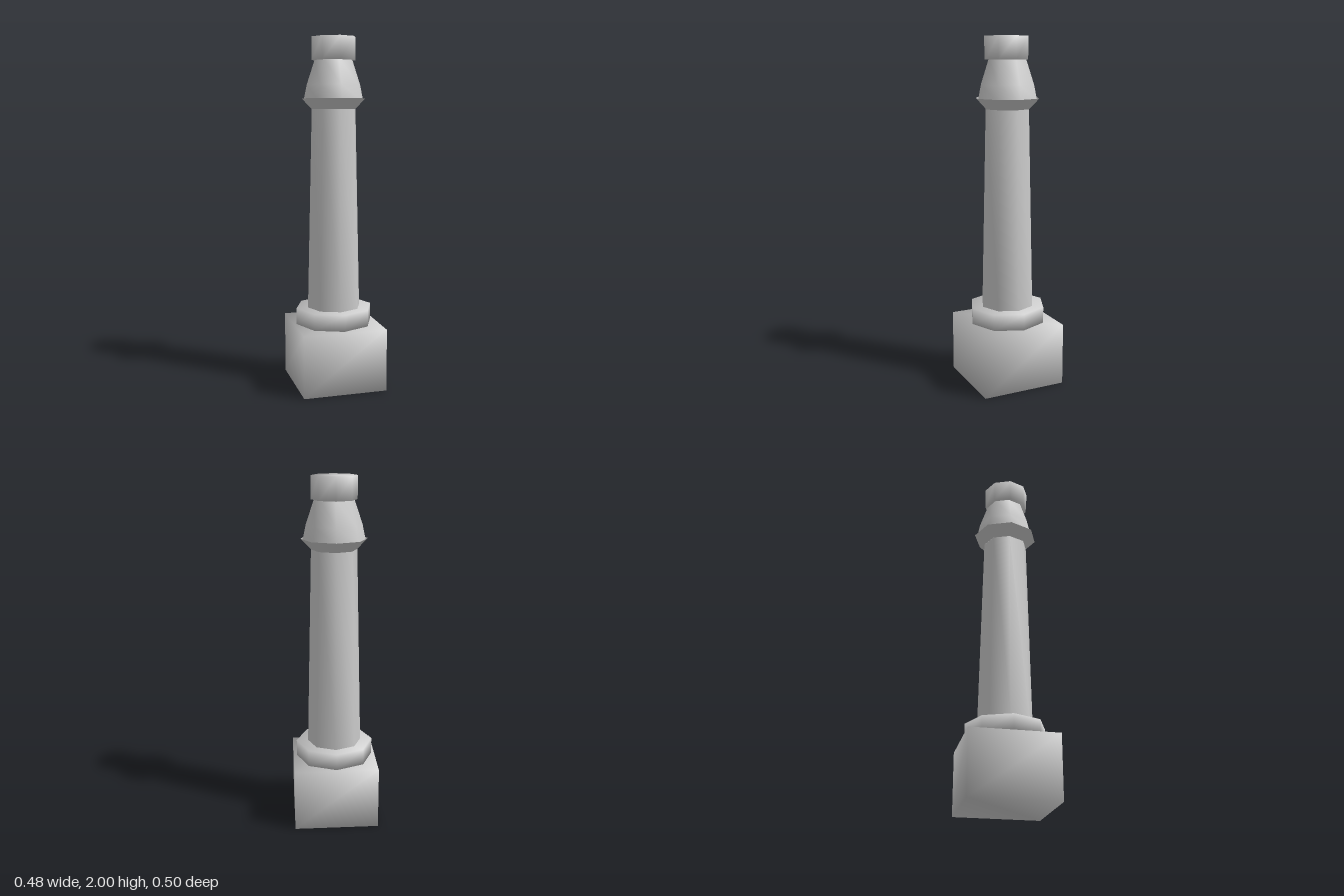
import * as THREE from 'three';
import { mergeVertices } from 'three/addons/utils/BufferGeometryUtils.js';

const SIDES = 8;

// Weld coincident corners so shading flows smoothly over every edge
function smooth(geometry) {
  geometry.deleteAttribute('uv');
  geometry.deleteAttribute('normal');
  const welded = mergeVertices(geometry, 1e-4);
  welded.computeVertexNormals();
  return welded;
}

export function createModel() {
  const group = new THREE.Group();
  const material = new THREE.MeshStandardMaterial({ color: 0xcccccc });
  const doubleSided = new THREE.MeshStandardMaterial({ color: 0xcccccc, side: THREE.DoubleSide });

  function add(name, geometry, x, y, z, mat = material) {
    const mesh = new THREE.Mesh(smooth(geometry), mat);
    mesh.name = name;
    mesh.position.set(x, y, z);
    group.add(mesh);
  }

  // Octagonal ring profile, listed from bottom to top as [radius, height]
  const turned = (profile) =>
    new THREE.LatheGeometry(profile.map(([r, y]) => new THREE.Vector2(r, y)), SIDES);

  // Square plinth and the collar resting on it
  add('plinth', new THREE.BoxGeometry(0.484, 0.36, 0.495), -0.002, 0.18, -0.002);
  add('collar', new THREE.CylinderGeometry(0.224, 0.224, 0.095, SIDES), -0.003, 0.4075, -0.005);

  // Tapering shaft
  add('shaft', turned([[0.156, 0.455], [0.129, 1.6]]), -0.003, 0, -0.005, doubleSided);

  // Flared lip with a narrow groove, and the dome rising inside it
  add('lip', turned([[0.129, 1.6], [0.187, 1.66], [0.175, 1.648]]), -0.003, 0, -0.006, doubleSided);
  add('dome', turned([[0.175, 1.648], [0.157, 1.735], [0.11, 1.875]]), -0.003, 0, -0.006, doubleSided);

  // Cap block, leaning out slightly at the top of its front corner
  const cap = new THREE.CylinderGeometry(0.128, 0.128, 0.128, SIDES);
  const p = cap.attributes.position;
  for (let i = 0; i < p.count; i++) {
    if (p.getZ(i) > 0.12) p.setZ(i, p.getY(i) > 0 ? 0.134 : 0.126);
    else if (p.getZ(i) < -0.12) p.setZ(i, -0.131);
  }
  add('cap', cap, -0.004, 1.936, 0);

  return group;
}
